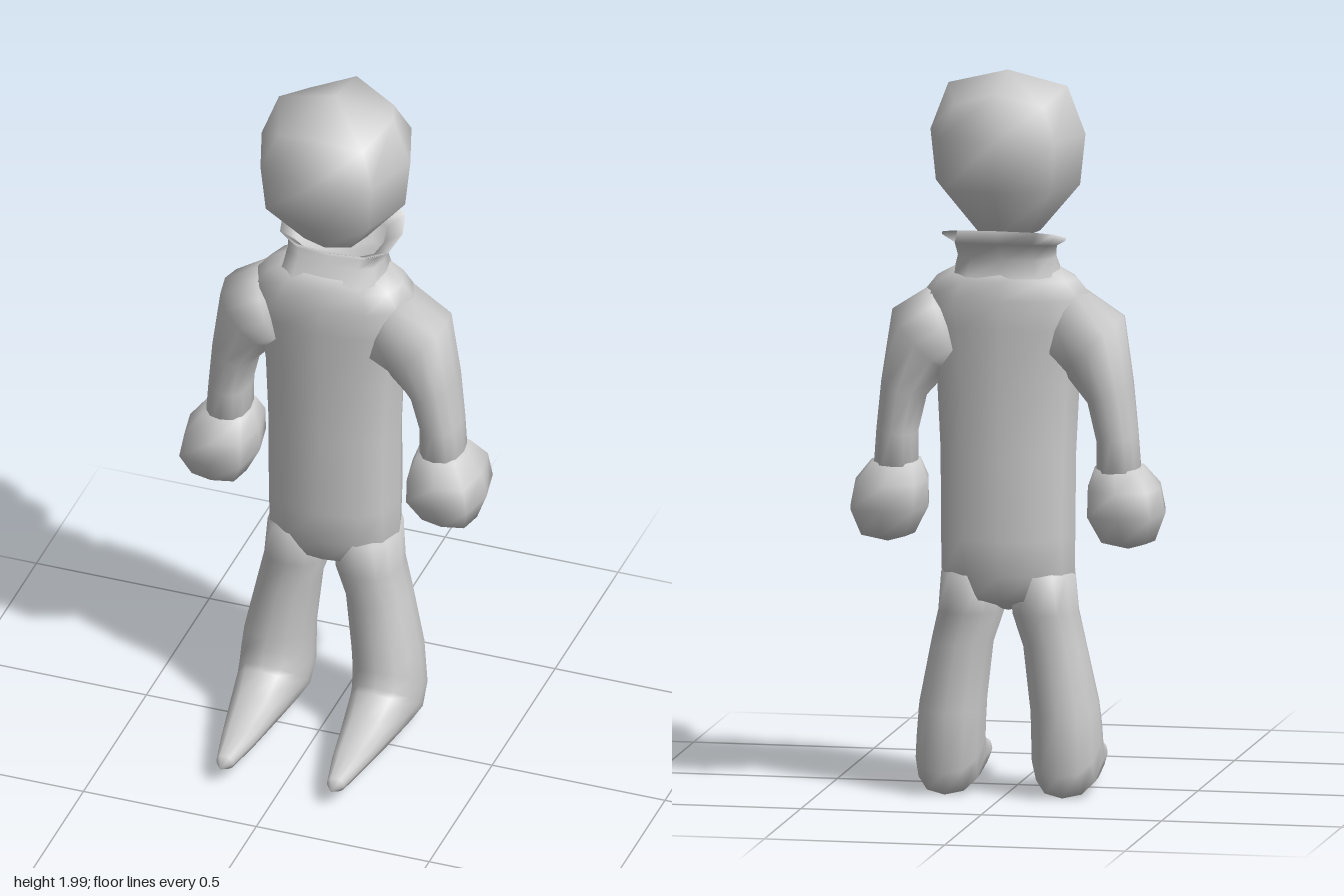
import * as THREE from 'three';

const material = new THREE.MeshStandardMaterial({ color: 0xcccccc });
const openMaterial = new THREE.MeshStandardMaterial({ color: 0xcccccc, side: THREE.DoubleSide });
const rad = THREE.MathUtils.degToRad;
const soft = (v, p) => Math.sign(v) * Math.pow(Math.abs(v), p);

// Skins a row of rings [x, y, z, halfWidth, halfDepth, roll, pitch].
// start and end are optional closing points; power < 1 makes the section boxier.
function loft(rings, { sides = 12, power = 0.85, start, end, side = 1 } = {}) {
  const pos = [], index = [];
  for (const [x, y, z, a, b, roll = 0, pitch = 0] of rings) {
    const t = rad(roll * side), s = rad(pitch);
    for (let i = 0; i < sides; i++) {
      const angle = (i / sides) * Math.PI * 2;
      const c = soft(Math.cos(angle), power) * a, d = soft(Math.sin(angle), power) * b;
      pos.push(x * side + c * Math.cos(t), y + c * Math.sin(t) + d * Math.sin(s), z + d * Math.cos(s));
    }
  }
  for (let j = 0; j < rings.length - 1; j++) {
    for (let i = 0; i < sides; i++) {
      const a = j * sides + i, b = j * sides + (i + 1) % sides;
      index.push(a, a + sides, b, b, a + sides, b + sides);
    }
  }
  const close = (point, row, flip) => {
    const k = pos.length / 3;
    pos.push(point[0] * side, point[1], point[2]);
    for (let i = 0; i < sides; i++) {
      const a = row * sides + i, b = row * sides + (i + 1) % sides;
      index.push(k, flip ? b : a, flip ? a : b);
    }
  };
  if (start) close(start, 0, false);
  if (end) close(end, rings.length - 1, true);
  const geometry = new THREE.BufferGeometry();
  geometry.setAttribute('position', new THREE.Float32BufferAttribute(pos, 3));
  geometry.setIndex(index);
  geometry.computeVertexNormals();
  return geometry;
}

export function createModel() {
  const model = new THREE.Group();
  const add = (name, geometry, mat = material) => {
    const mesh = new THREE.Mesh(geometry, mat);
    mesh.name = name;
    model.add(mesh);
  };

  // Head: coarse ball narrowing to the chin, crown corners pulled down
  const head = loft([
    [0, 1.56, -0.133, 0.09, 0.09],
    [0, 1.69, -0.133, 0.2, 0.2],
    [0, 1.83, -0.133, 0.215, 0.215],
    [0, 1.96, -0.133, 0.165, 0.165],
  ], { sides: 8, start: [0, 1.52, -0.125], end: [0, 2, -0.133] });
  const p = head.attributes.position;
  for (let i = 0; i < p.count; i++) {
    const corner = Math.abs(p.getX(i) * (p.getZ(i) + 0.133)) > 0.005;
    if (corner && p.getY(i) > 1.9) p.setY(i, p.getY(i) - 0.04);
  }
  head.computeVertexNormals();
  add('head', head);

  // Torso from hips to neck base
  add('torso', loft([
    [0, 0.55, -0.13, 0.165, 0.105],
    [0, 0.62, -0.13, 0.185, 0.13],
    [0, 0.72, -0.13, 0.186, 0.142],
    [0, 0.95, -0.128, 0.188, 0.132],
    [0, 1.15, -0.128, 0.198, 0.128],
    [0, 1.3, -0.128, 0.22, 0.13],
    [0, 1.38, -0.13, 0.235, 0.128],
    [0, 1.43, -0.133, 0.195, 0.113],
    [0, 1.46, -0.137, 0.14, 0.098],
  ], { start: [0, 0.51, -0.13], end: [0, 1.48, -0.14] }));

  // Collar: flares outward and rises toward the back
  add('collar', loft([
    [0, 1.44, -0.135, 0.15, 0.106],
    [0, 1.49, -0.145, 0.136, 0.084],
    [0, 1.525, -0.165, 0.142, 0.092, 0, -8],
    [0, 1.55, -0.188, 0.172, 0.114, 0, -16],
    [0, 1.53, -0.168, 0.128, 0.085, 0, -10],
    [0, 1.49, -0.145, 0.12, 0.075],
  ], { power: 0.65, end: [0, 1.485, -0.145] }), openMaterial);

  for (const [label, side] of [['left', 1], ['right', -1]]) {
    // Arm from wrist up into the shoulder
    add(label + 'Arm', loft([
      [0.31, 0.88, -0.138, 0.061, 0.078, 0],
      [0.305, 1.0, -0.14, 0.056, 0.085, 8],
      [0.286, 1.12, -0.138, 0.065, 0.1, 22],
      [0.24, 1.25, -0.132, 0.114, 0.113, 45],
      [0.16, 1.3, -0.13, 0.115, 0.12, 68],
    ], { side, start: [0.31, 0.86, -0.138], end: [0.1, 1.3, -0.13] }));

    // Hand: coarse rounded fist
    add(label + 'Hand', loft([
      [0.333, 0.715, -0.133, 0.075, 0.08],
      [0.328, 0.79, -0.133, 0.108, 0.128],
      [0.322, 0.86, -0.133, 0.1, 0.122],
      [0.31, 0.915, -0.135, 0.068, 0.078],
    ], { sides: 8, power: 0.6, side, start: [0.333, 0.69, -0.133], end: [0.31, 0.925, -0.135] }));

    // Leg and pointed foot in one skin, from toe to hip
    add(label + 'Leg', loft([
      [0.16, 0.06, 0.31, 0.025, 0.02, 0, 90],
      [0.16, 0.07, 0.2, 0.049, 0.032, 0, 90],
      [0.162, 0.082, 0.08, 0.07, 0.05, 0, 85],
      [0.163, 0.092, -0.04, 0.085, 0.102, 0, 54],
      [0.163, 0.097, -0.094, 0.092, 0.138, 0, 41],
      [0.161, 0.15, -0.121, 0.095, 0.144, 0, 34],
      [0.155, 0.25, -0.12, 0.093, 0.115, 0, 8],
      [0.128, 0.42, -0.125, 0.086, 0.1],
      [0.103, 0.51, -0.125, 0.091, 0.104],
      [0.095, 0.62, -0.13, 0.088, 0.118],
    ], { side, start: [0.16, 0.06, 0.347], end: [0.095, 0.66, -0.13] }));
  }
  return model;
}
